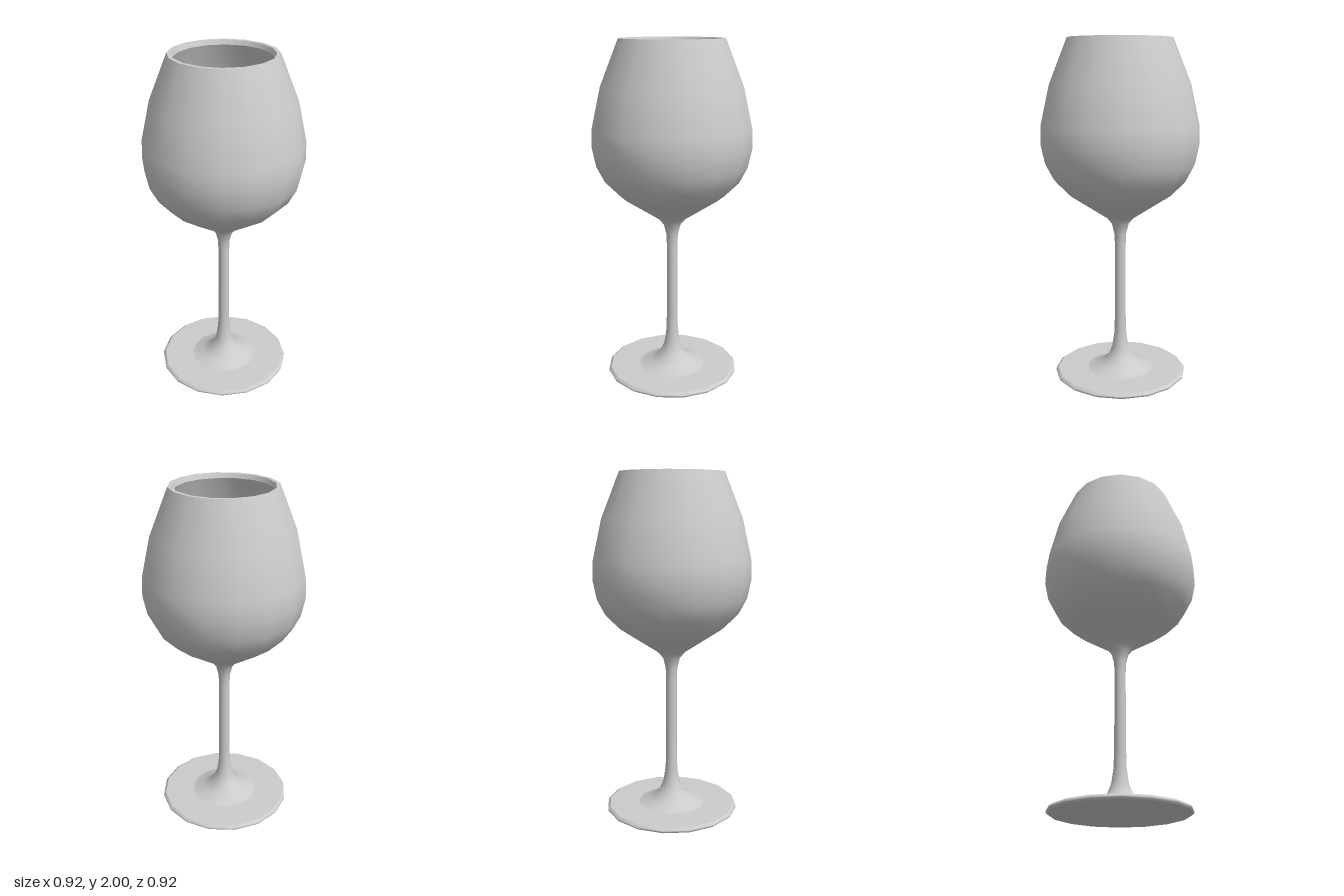
import * as THREE from 'three';

const SIDES = 16;

export function createModel() {
  const glass = new THREE.Group();
  glass.name = 'wineGlass';
  const material = new THREE.MeshStandardMaterial({ color: 0xcccccc });

  // Each profile runs [radius, height]; separate profiles meet in sharp edges
  const turn = (name, profile) => {
    const points = profile.map(([r, y]) => new THREE.Vector2(r, y));
    const mesh = new THREE.Mesh(new THREE.LatheGeometry(points, SIDES), material);
    mesh.name = name;
    glass.add(mesh);
  };

  // Foot: flat underside, rounded edge, flat top
  turn('footUnderside', [[0, 0], [0.385, 0]]);
  turn('footEdge', [[0.385, 0], [0.395, 0.008], [0.395, 0.017], [0.38, 0.028]]);
  turn('footTop', [[0.38, 0.028], [0.2, 0.03]]);

  // Stem flaring into the foot below and the bowl above
  turn('stemAndBowl', [
    [0.2, 0.03], [0.135, 0.053], [0.075, 0.1], [0.048, 0.165], [0.036, 0.25],
    [0.033, 0.36], [0.032, 0.8], [0.035, 0.87], [0.05, 0.93], [0.08, 0.967],
    [0.13, 1.0], [0.305, 1.115], [0.39, 1.2], [0.437, 1.29], [0.46, 1.4],
    [0.457, 1.51], [0.405, 1.74], [0.3, 2.0],
  ]);

  // Rim: flat top and short inner lip
  turn('rim', [[0.3, 2.0], [0.278, 2.0]]);
  turn('innerLip', [[0.278, 2.0], [0.268, 1.975]]);

  // Hollow inside of the bowl
  turn('bowlInside', [
    [0.268, 1.975], [0.375, 1.74], [0.428, 1.51], [0.43, 1.4], [0.408, 1.3],
    [0.365, 1.22], [0.285, 1.14], [0.12, 1.035], [0, 1.01],
  ]);

  return glass;
}
